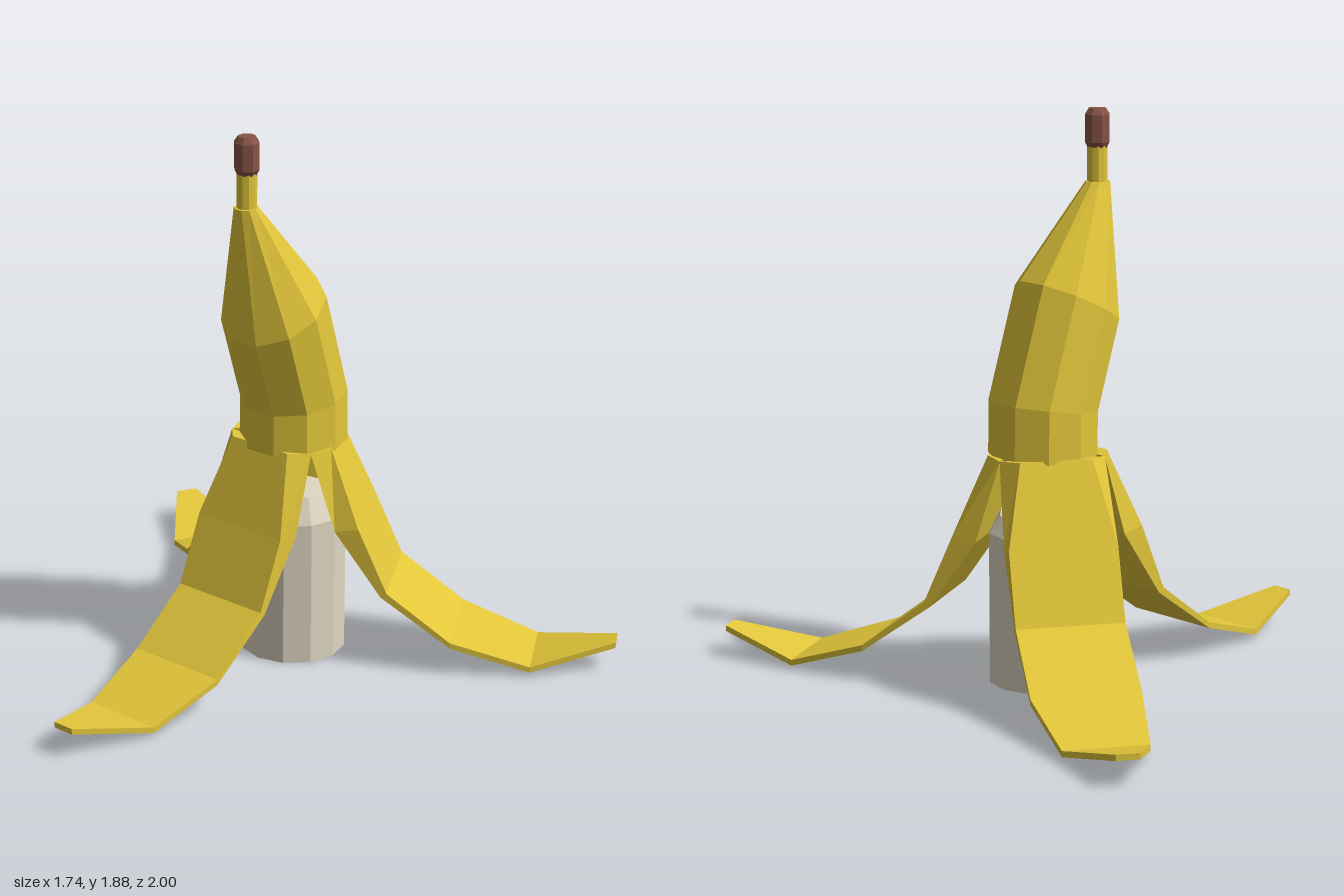
import * as THREE from 'three';

// Skin a list of equal-length point rings, with both ends capped, in flat facets.
function loft(rings) {
  const pos = [];
  const tri = (...pts) => pts.forEach(p => pos.push(...p));
  const n = rings[0].length;
  for (let i = 0; i < rings.length - 1; i++) {
    for (let k = 0; k < n; k++) {
      const j = (k + 1) % n;
      const [a, b, c, d] = [rings[i][k], rings[i][j], rings[i + 1][k], rings[i + 1][j]];
      tri(a, c, b);
      tri(b, c, d);
    }
  }
  const first = rings[0], last = rings[rings.length - 1];
  for (let k = 1; k < n - 1; k++) {
    tri(first[0], first[k], first[k + 1]);
    tri(last[0], last[k + 1], last[k]);
  }
  const geo = new THREE.BufferGeometry();
  geo.setAttribute('position', new THREE.Float32BufferAttribute(pos, 3));
  geo.computeVertexNormals();
  return geo;
}

// Round ring at (x, y), tilted about the z axis.
function ring(x, y, r, tilt, sides, phase) {
  return Array.from({ length: sides }, (_, k) => {
    const t = phase + (k / sides) * Math.PI * 2;
    const u = r * Math.cos(t);
    return [x + u * Math.cos(tilt), y + u * Math.sin(tilt), 0.016 + r * Math.sin(t)];
  });
}

const tube = (list, sides, phase) =>
  loft(list.map(([x, y, r, tilt = 0]) => ring(x, y, r, tilt, sides, phase)));

export function createModel() {
  const group = new THREE.Group();
  const material = (name, color) => {
    const m = new THREE.MeshStandardMaterial({ color });
    m.name = name;
    return m;
  };
  const yellow = material('peelYellow', 0xe2c63a);
  const cream = material('fruitCream', 0xded7c2);
  const brown = material('tipBrown', 0x865444);
  const add = (name, geo, mat) => {
    const mesh = new THREE.Mesh(geo, mat);
    mesh.name = name;
    group.add(mesh);
    return mesh;
  };

  // Bent upper skin, bottom to top
  add('upperPeel', tube([
    [0.265, 0.765, 0.183, 0.03],
    [0.262, 0.93, 0.183, 0.14],
    [0.155, 1.26, 0.183, 0.477],
    [0.016, 1.645, 0.041, 0],
  ], 10, Math.PI / 10), yellow);

  // Stem and its dark end
  add('stem', tube([[0.018, 1.63, 0.034], [0.018, 1.77, 0.034]], 10, Math.PI / 10), yellow);
  add('stemTip', tube([
    [0.018, 1.75, 0.03], [0.018, 1.775, 0.043], [0.018, 1.865, 0.043], [0.018, 1.885, 0.03],
  ], 8, Math.PI / 8), brown);

  // Fruit inside, with a slightly slanted top
  add('fruit', tube([
    [0.263, 0, 0.183], [0.263, 0.51, 0.183], [0.265, 0.587, 0.145, -0.16],
  ], 12, 0), cream);

  // Peel flaps: [distance, height, half width] for the outer and inner skin
  const outer = [[0.16, 0.78, 0.12], [0.265, 0.515, 0.18], [0.365, 0.285, 0.18],
    [0.585, 0.12, 0.18], [0.855, 0.035, 0.14], [1.135, 0.105, 0.038]];
  const inner = [[0.1, 0.775, 0.175], [0.185, 0.5, 0.18], [0.345, 0.27, 0.18],
    [0.585, 0.1, 0.18], [0.855, 0.015, 0.14], [1.135, 0.085, 0.038]];
  const flap = loft(outer.map(([d, y, w], i) => {
    const [e, v, s] = inner[i];
    return [[d, y, w], [d, y, -w], [e, v, -s], [e, v, s]];
  }));
  [['rightFlap', Math.PI], ['frontFlap', -Math.PI / 3], ['backFlap', Math.PI / 3]].forEach(([name, angle]) => {
    const mesh = add(name, flap, yellow);
    mesh.position.x = 0.265;
    mesh.rotation.y = angle;
  });

  return group;
}
